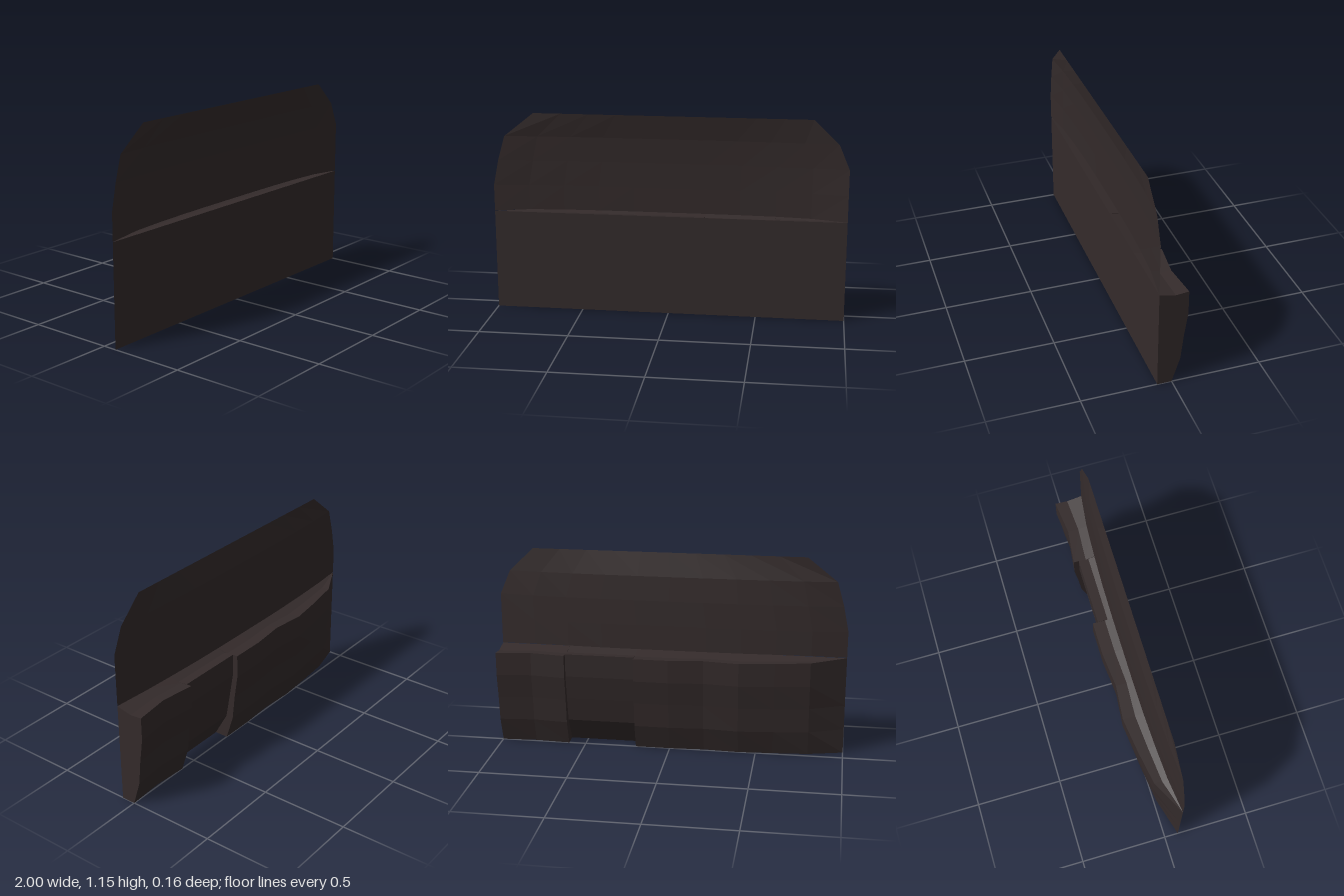
import * as THREE from 'three';

// Skin a list of point rows with flat quads; optionally wrap each row and cap the last one
function skin(rows, closed) {
  const pos = [];
  const tri = (a, b, c) => pos.push(...a, ...b, ...c);
  const n = rows[0].length;
  for (let s = 0; s < rows.length - 1; s++) {
    for (let i = 0; i < (closed ? n : n - 1); i++) {
      const j = (i + 1) % n;
      const a = rows[s][i], b = rows[s][j], c = rows[s + 1][j], d = rows[s + 1][i];
      tri(a, b, c);
      tri(a, c, d);
    }
  }
  if (closed) {
    const end = rows[rows.length - 1];
    for (let i = 1; i < n - 1; i++) tri(end[0], end[i], end[i + 1]);
  }
  const geo = new THREE.BufferGeometry();
  geo.setAttribute('position', new THREE.Float32BufferAttribute(pos, 3));
  geo.computeVertexNormals();
  return geo;
}

export function createModel() {
  const group = new THREE.Group();
  const darkBrown = new THREE.MeshStandardMaterial({ color: 0x342b2b, side: THREE.DoubleSide });
  darkBrown.name = 'darkBrown';
  const FRONT = 0.08;

  // Lower body: flat front, bulging back, tapering to an edge on one side
  const heights = [0, 0.145, 0.29, 0.43];
  const bulge = [0.08, 0.125, 0.14, 0.16, 0.16];
  const recess = [0, 0.08, 0.105, 0.128, 0.13];
  const stations = [
    [-1, 0], [-0.8, 0.63], [-0.6, 0.84], [-0.4, 1], [-0.2, 0.88], [0, 1], [0.2, 1],
    [0.2, 1, recess], [0.6, 1, recess], // shallow recess between two steps
    [0.6, 1], [0.8, 0.86], [1, 1],
  ];
  const sections = stations.map(([x, k, depths = bulge]) => {
    const ring = [[x, 0, FRONT]];
    depths.forEach((d, i) => ring.push([x, heights[i] ?? 0.575 - 0.011 * k, FRONT - d * k]));
    ring.push([x, 0.575 - 0.018 * k, FRONT - 0.55 * depths[4] * k]); // dip in the ledge
    ring.push([x, 0.576, FRONT]);
    return ring;
  });
  const lower = new THREE.Mesh(skin(sections, true), darkBrown);
  lower.name = 'lowerBody';
  group.add(lower);

  // Upper panel: thin shallow dish, open to the front; rows are y, left x, right x, depth
  const across = [0, 0.55, 0.8, 0.95, 1, 1, 1, 0.95, 0.8, 0.55, 0];
  const panelRows = [
    [0.578, -1, 1, 0.045], [0.73, -1, 1, 0.041], [0.875, -0.97, 1, 0.035],
    [1.015, -0.93, 0.94, 0.025], [1.15, -0.76, 0.8, 0],
  ];
  const sheet = panelRows.map(([y, x0, x1, d], r) => across.map((f, i) => [
    x0 + (x1 - x0) * i / 10,
    r === 0 ? y + 0.01 * Math.min(1, 1.5 * f) : y, // bottom edge lifts off the ledge
    FRONT - d * f,
  ]));
  const upper = new THREE.Mesh(skin(sheet, false), darkBrown);
  upper.name = 'upperPanel';
  group.add(upper);

  return group;
}
